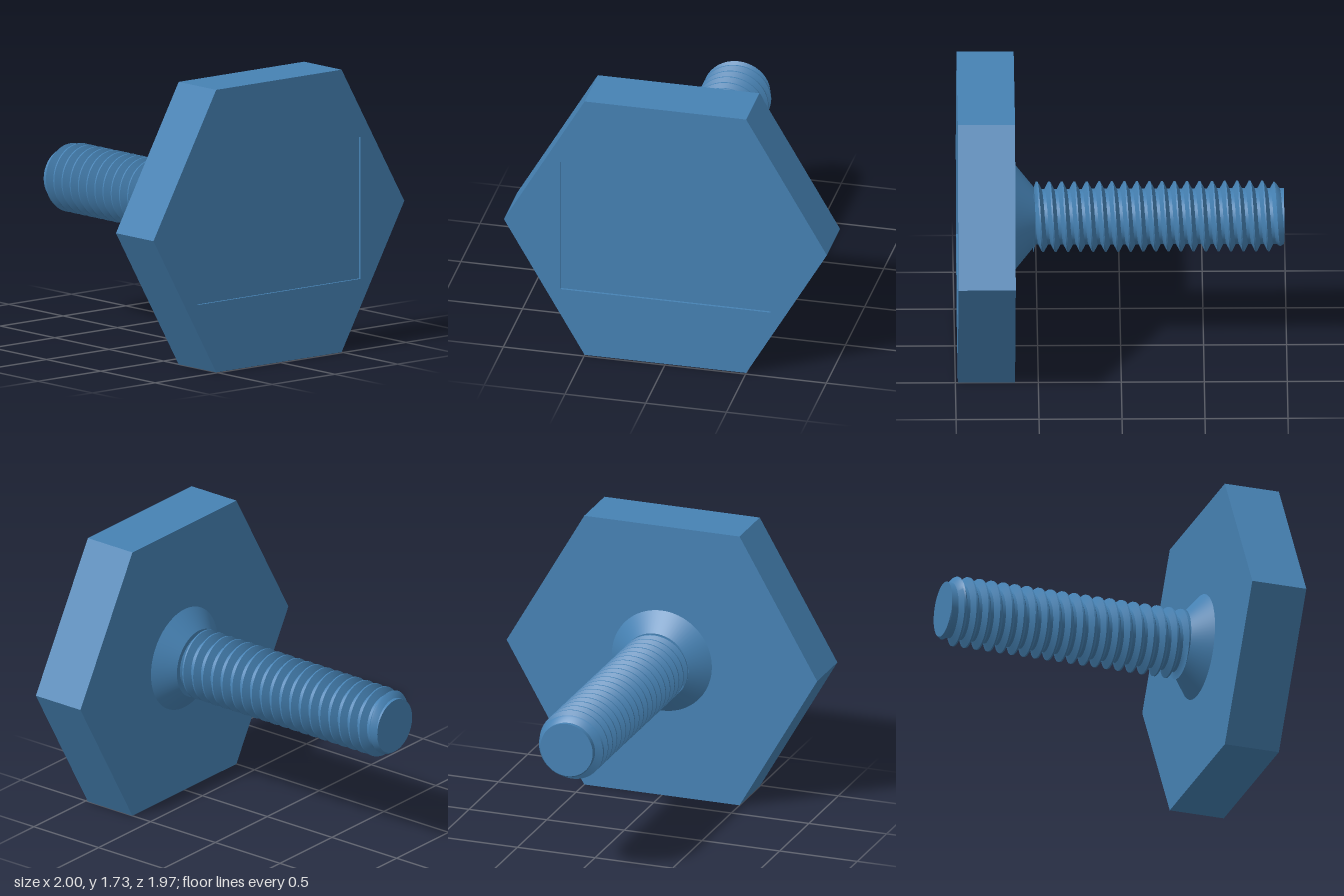
import * as THREE from 'three';
import { toCreasedNormals } from 'three/addons/utils/BufferGeometryUtils.js';

const CENTER_Y = 0.866;
const TIP_Z = -0.985, HEAD_BACK = 0.64, HEAD_FRONT = 0.985;
const RECESS_DEPTH = 0.015;
const ROOT = 0.168, CREST = 0.213, PITCH = 0.0755;

function hexagon() {
  const corners = [];
  for (let i = 0; i < 6; i++) {
    const a = (i * Math.PI) / 3;
    corners.push(new THREE.Vector2(Math.cos(a), Math.sin(a)));
  }
  return new THREE.Shape(corners);
}

// Helical thread surface: every row follows the helix, clipped flat at both ends.
function threadGeometry(startZ) {
  const segments = 72;
  // [share of one pitch, radius]: crest flat, flank, root flat, flank
  const profile = [[-0.063, CREST], [0.063, CREST], [0.375, ROOT], [0.625, ROOT]];
  const crestZ = 0.481; // height of a crest on the +x side
  const first = Math.floor((TIP_Z - crestZ) / PITCH) - 2;
  const last = Math.ceil((startZ - crestZ) / PITCH) + 1;

  const rows = [];
  for (let turn = first; turn <= last; turn++) {
    for (const [share, radius] of profile) {
      const row = [];
      for (let j = 0; j <= segments; j++) {
        const a = (j / segments) * Math.PI * 2;
        const helixZ = crestZ + PITCH * (turn + share + j / segments);
        const z = THREE.MathUtils.clamp(helixZ, TIP_Z, startZ);
        const r = Math.min(radius, ROOT + (z - TIP_Z) * 0.65); // chamfered tip
        row.push(new THREE.Vector3(r * Math.cos(a), r * Math.sin(a), z));
      }
      rows.push(row);
    }
  }

  const positions = [];
  const triangle = new THREE.Triangle();
  const addTriangle = (a, b, c) => {
    if (triangle.set(a, b, c).getArea() < 1e-9) return;
    for (const p of [a, b, c]) positions.push(p.x, p.y, p.z);
  };
  for (let i = 0; i < rows.length - 1; i++) {
    for (let j = 0; j < segments; j++) {
      const a = rows[i][j], b = rows[i][j + 1];
      const c = rows[i + 1][j + 1], d = rows[i + 1][j];
      addTriangle(a, b, c);
      addTriangle(a, c, d);
    }
  }
  const geometry = new THREE.BufferGeometry();
  geometry.setAttribute('position', new THREE.Float32BufferAttribute(positions, 3));
  return toCreasedNormals(geometry, 0.5);
}

export function createModel() {
  const model = new THREE.Group();
  model.name = 'hexHeadBolt';
  const material = new THREE.MeshStandardMaterial({ color: 0x4682b4 });

  const add = (name, geometry, z = 0) => {
    const mesh = new THREE.Mesh(geometry, material);
    mesh.name = name;
    mesh.position.set(0, CENTER_Y, z);
    model.add(mesh);
    return mesh;
  };

  // Hexagonal head: solid body plus a thin front rim around the shallow recess
  const bodyDepth = HEAD_FRONT - HEAD_BACK - RECESS_DEPTH;
  add('head', new THREE.ExtrudeGeometry(hexagon(), { depth: bodyDepth, bevelEnabled: false }), HEAD_BACK);

  const rim = hexagon();
  const w = 0.65, h = 0.435;
  rim.holes.push(new THREE.Path([
    new THREE.Vector2(-w, -h), new THREE.Vector2(-w, h),
    new THREE.Vector2(w, h), new THREE.Vector2(w, -h),
  ]));
  add('recessRim', new THREE.ExtrudeGeometry(rim, { depth: RECESS_DEPTH, bevelEnabled: false }),
    HEAD_FRONT - RECESS_DEPTH);

  // Conical collar joining shaft and head
  const collarTop = 0.513;
  const collar = new THREE.CylinderGeometry(0.322, ROOT, HEAD_BACK - collarTop, 72, 1, true);
  collar.rotateX(Math.PI / 2);
  add('collar', collar, (HEAD_BACK + collarTop) / 2);

  // Threaded shaft and its flat tip
  add('threadedShaft', threadGeometry(0.527));
  const tip = add('shaftTip', new THREE.CircleGeometry(ROOT, 72), TIP_Z);
  tip.rotation.y = Math.PI;

  return model;
}
